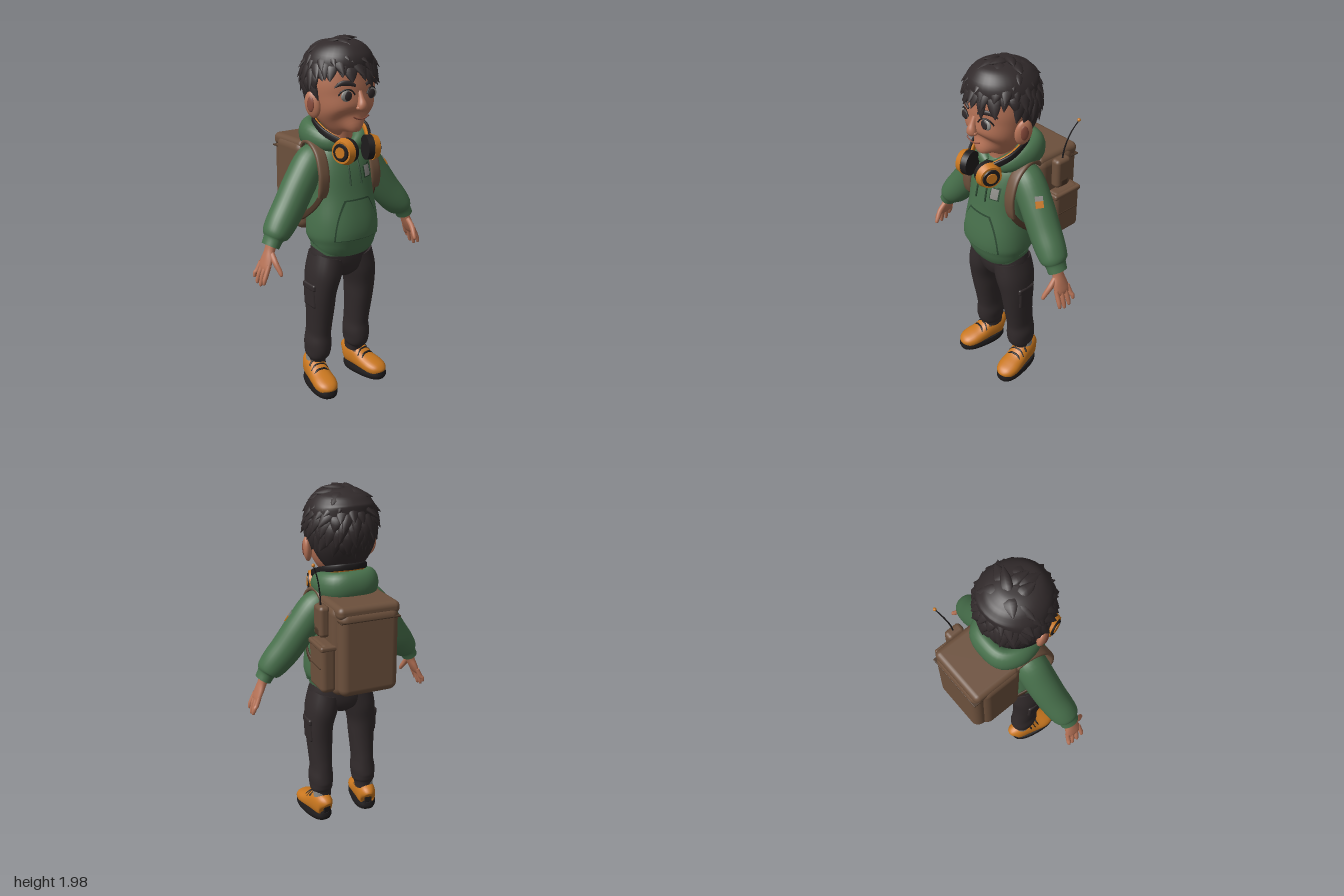
import * as THREE from 'three';
import { RoundedBoxGeometry } from 'three/addons/geometries/RoundedBoxGeometry.js';

const mat = (name, color) => Object.assign(new THREE.MeshStandardMaterial({ color }), { name });
const M = {
  skin: mat('skin', 0xb87458), lip: mat('lip', 0x8a4c3c), charcoal: mat('charcoal', 0x312a2b),
  green: mat('green', 0x476f4b), darkGreen: mat('dark green', 0x2c4932), brown: mat('brown', 0x6c503c),
  darkBrown: mat('dark brown', 0x4a3627), orange: mat('orange', 0xc9771f), black: mat('black', 0x1f1c1d),
  grey: mat('grey', 0x8b8a86),
};
const X = new THREE.Vector3(1, 0, 0), Y = new THREE.Vector3(0, 1, 0), Z = new THREE.Vector3(0, 0, 1);

// Catmull-Rom interpolation of rows of numbers
function smooth(rows, k) {
  const out = [];
  for (let i = 0; i < rows.length - 1; i++) {
    const [A, B, C, D] = [-1, 0, 1, 2].map(o => rows[THREE.MathUtils.clamp(i + o, 0, rows.length - 1)]);
    for (let s = 0; s < k; s++) {
      const t = s / k;
      out.push(B.map((b, c) => 0.5 * (2 * b + (C[c] - A[c]) * t + (2 * A[c] - 5 * b + 4 * C[c] - D[c]) * t * t
        + (3 * b - A[c] - 3 * C[c] + D[c]) * t * t * t)));
    }
  }
  out.push(rows[rows.length - 1]);
  return out;
}

// Skin through rows [x, y, z, radius along ref, other radius]
function limb(rows, ref, { n = 24, k = 5, p = 2 } = {}) {
  const R = smooth(rows, k), P = R.map(r => new THREE.Vector3(r[0], r[1], r[2])), pos = [], idx = [];
  const pw = v => Math.sign(v) * Math.abs(v) ** (2 / p);
  const ring = i => {
    const t = P[Math.min(i + 1, P.length - 1)].clone().sub(P[Math.max(i - 1, 0)]).normalize();
    const u = ref.clone().addScaledVector(t, -ref.dot(t)).normalize(), v = t.clone().cross(u);
    for (let j = 0; j < n; j++) {
      const a = j / n * Math.PI * 2;
      const q = P[i].clone().addScaledVector(u, Math.max(R[i][3], 0.0005) * pw(Math.cos(a)))
        .addScaledVector(v, Math.max(R[i][4], 0.0005) * pw(Math.sin(a)));
      pos.push(q.x, q.y, q.z);
    }
  };
  P.forEach((_, i) => ring(i));
  for (let i = 0; i < P.length - 1; i++) for (let j = 0; j < n; j++) {
    const a = i * n + j, b = i * n + (j + 1) % n;
    idx.push(a, b, a + n, b, b + n, a + n);
  }
  for (const i of [0, P.length - 1]) {            // flat end caps
    const s = pos.length / 3;
    ring(i);
    pos.push(P[i].x, P[i].y, P[i].z);
    for (let j = 0; j < n; j++) {
      const a = s + j, b = s + (j + 1) % n;
      i ? idx.push(s + n, a, b) : idx.push(s + n, b, a);
    }
  }
  const g = new THREE.BufferGeometry();
  g.setAttribute('position', new THREE.Float32BufferAttribute(pos, 3));
  g.setIndex(idx);
  g.computeVertexNormals();
  return g;
}

// Front z of an upright limb at (x, y)
function frontZ(rows, x, y, p) {
  const R = smooth(rows, 8);
  let i = R.findIndex(r => r[1] >= y);
  i = Math.max(i, 1);
  const f = (y - R[i - 1][1]) / (R[i][1] - R[i - 1][1]);
  const [, , z, rx, rz] = R[i].map((v, c) => THREE.MathUtils.lerp(R[i - 1][c], v, f));
  return z + rz * Math.max(0, 1 - Math.abs(x / rx) ** p) ** (1 / p);
}

const HEAD = [[0, 1.5, .195, .03, .035], [0, 1.515, .19, .065, .065], [0, 1.55, .155, .115, .11], [0, 1.6, .13, .15, .147],
  [0, 1.68, .105, .168, .162], [0, 1.76, .095, .175, .168], [0, 1.85, .09, .16, .163], [0, 1.92, .09, .1, .11], [0, 1.94, .09, .02, .02]];
const HAIR = [[0, 1.53, .02, .085, .04], [0, 1.6, .025, .142, .09], [0, 1.68, .035, .178, .135], [0, 1.78, .06, .187, .172],
  [0, 1.86, .08, .182, .187], [0, 1.92, .085, .145, .155], [0, 1.955, .085, .085, .095], [0, 1.965, .085, .02, .02]];
const TORSO = [[0, .835, .1, .172, .128], [0, .885, .105, .182, .138], [0, .9, .11, .192, .152], [0, .94, .11, .202, .166],
  [0, 1.02, .108, .198, .163], [0, 1.15, .095, .18, .15], [0, 1.28, .08, .178, .14], [0, 1.38, .06, .165, .12],
  [0, 1.44, .05, .105, .095], [0, 1.46, .05, .085, .085]];

export function createModel() {
  const root = new THREE.Group();
  const add = (name, geo, m, parent = root, pos = [0, 0, 0]) => {
    const mesh = new THREE.Mesh(geo, m);
    mesh.name = name;
    mesh.position.set(...pos);
    parent.add(mesh);
    return mesh;
  };
  const box = (name, w, h, d, r, m, pos) => add(name, new RoundedBoxGeometry(w, h, d, 4, r), m, root, pos);
  const ball = (name, rx, ry, rz, m, pos) => add(name, new THREE.SphereGeometry(1, 24, 16).scale(rx, ry, rz), m, root, pos);
  const group = name => { const g = new THREE.Group(); g.name = name; root.add(g); return g; };
  const mirrorRows = half => [...half, ...half.slice(0, -1).reverse().map(([x, ...r]) => [-x, ...r])];
  // thin sheet laid over the chest; half width runs from w0 (bottom) to w1 (top)
  const patch = (name, cx, y0, y1, w0, w1, off, m) => {
    const g = new THREE.PlaneGeometry(2, 1, 16, 10), a = g.attributes.position;
    for (let i = 0; i < a.count; i++) {
      const v = a.getY(i) + 0.5, x = cx + a.getX(i) * THREE.MathUtils.lerp(w0, w1, v * v), y = THREE.MathUtils.lerp(y0, y1, v);
      a.setXYZ(i, x, y, frontZ(TORSO, x, y, 2.3) + off);
    }
    g.computeVertexNormals();
    add(name, g, m);
  };

  // Head and face
  add('head', limb(HEAD, X, { n: 40, p: 2.2 }), M.skin);
  add('neck', limb([[0, 1.4, .07, .08, .08], [0, 1.48, .085, .07, .07], [0, 1.58, .1, .075, .075]], X), M.skin);
  const face = (x, y, o = 0) => [x, y, frontZ(HEAD, x, y, 2.2) + o];
  add('nose', limb([[0, 1.72, .255, .012, .012], [0, 1.68, .268, .017, .02], [0, 1.65, .278, .026, .026], [0, 1.632, .276, .026, .022],
    [0, 1.62, .27, .008, .008]], X), M.skin);
  add('mouth', limb([-.05, -.025, 0, .025, .05].map(x => [...face(x, 1.578 + x * x * 6), .004, .003]), Y, { n: 8 }), M.lip);
  for (const s of [-1, 1]) {
    ball('nostril', .012, .011, .014, M.skin, [s * .02, 1.636, .275]);
    ball('eye', .036, .029, .012, M.grey, face(s * .076, 1.7, -.002));
    ball('iris', .023, .025, .008, M.charcoal, face(s * .074, 1.7, .005));
    add('eyelid', limb([[.038, 1.705], [.056, 1.727], [.08, 1.733], [.104, 1.722], [.117, 1.703]]
      .map(([x, y]) => [...face(s * x, y, .005), .004, .005]), Y, { n: 8 }), M.black);
    add('eyebrow', limb([[.034, 1.75, .007], [.07, 1.764, .013], [.105, 1.762, .012], [.13, 1.742, .003]]
      .map(([x, y, r]) => [...face(s * x, y, .002), r, .008]), Y, { n: 10 }), M.charcoal);
    const ear = ball('ear', .024, .07, .046, M.skin, [s * .182, 1.645, .1]);
    ear.rotation.set(-.15, s * -.35, s * -.12);
    ball('earHollow', .008, .04, .022, M.lip, [s * .2, 1.65, .108]).rotation.y = s * -.35;
  }

  // Hair: a cap overlaid with pointed locks that run away from the crown
  const hair = group('hair');
  add('hairCap', limb(HAIR, X, { n: 36 }), M.charcoal, hair);
  let seed = 7;
  const rnd = () => (seed = (seed * 16807) % 2147483647) / 2147483647;
  const C = new THREE.Vector3(0, 1.77, .075), crown = new THREE.Vector3(-.02, 1.97, .02);
  for (let i = 0; i < 190; i++) {
    const cy = 1 - 1.85 * (i + .5) / 190, a = i * 2.39996, q = Math.sqrt(1 - cy * cy);
    const d = new THREE.Vector3(q * Math.cos(a), cy, q * Math.sin(a));
    const pt = d.clone().multiply(new THREE.Vector3(.18, .188, .182)).add(C);
    if ((pt.z > .13 && pt.y < 1.835) || (pt.y < 1.76 && pt.z > .06) || pt.y < 1.61) continue;
    const nrm = d.clone().divide(new THREE.Vector3(.18, .188, .182)).normalize();
    const dir = pt.clone().sub(crown).add(new THREE.Vector3((rnd() - .5) * .1, 0, (rnd() - .5) * .1));
    dir.addScaledVector(nrm, -dir.dot(nrm)).normalize();
    const len = .08 + rnd() * .045, w = .026 + rnd() * .012, lift = .008 + rnd() * .014;
    const at = (t, h, th, wd) => [...pt.clone().addScaledVector(dir, len * t).addScaledVector(nrm, h - t * t * len * .2).toArray(), th, wd];
    add('lock', limb([at(-.35, -.012, .006, w * .5), at(.1, .004, .013, w), at(.55, .012, .012, w * .8), at(1, lift + .01, .001, .001)],
      nrm, { n: 8, k: 3 }), M.charcoal, hair);
  }

  // Hoodie
  add('hoodieBody', limb(TORSO, X, { n: 40, p: 2.3 }), M.green);
  add('hood', limb(mirrorRows([[.025, 1.405, .165, .03, .025], [.1, 1.44, .13, .05, .045], [.132, 1.462, .02, .07, .05],
    [.09, 1.465, -.07, .08, .055], [0, 1.467, -.09, .082, .055]]), Y), M.green);
  add('hemSeam', limb([[0, .887, .105, .184, .141], [0, .893, .106, .191, .15]], X, { n: 40, p: 2.3 }), M.darkGreen);
  patch('pocketSeam', 0, .925, 1.145, .145, .079, .004, M.darkGreen);
  patch('frontPocket', 0, .93, 1.138, .14, .073, .008, M.green);
  patch('chestBadge', .087, 1.245, 1.32, .028, .028, .005, M.darkGreen);
  patch('chestBadgeCentre', .087, 1.252, 1.31, .021, .021, .008, M.grey);
  for (const s of [-1, 1]) {
    add('drawstring', limb([1.41, 1.36, 1.3, 1.22].map((y, i) => [s * (.03 + i * .002), y, Math.max(frontZ(TORSO, .03, y, 2.3) + .006, i ? 0 : .192),
      .005, .005]), X, { n: 8 }), M.darkGreen);
    add('sleeve', limb([[.1, 1.38, .045, .07, .06], [.16, 1.335, .05, .088, .088], [.24, 1.23, .06, .09, .09], [.32, 1.115, .075, .087, .088],
      [.385, 1.035, .09, .083, .082], [.425, .99, .1, .075, .068], [.437, .972, .102, .06, .05], [.458, .935, .104, .056, .045]]
      .map(([x, ...r]) => [s * x, ...r]), Z, { n: 28 }), M.green);

    // Hand
    const hand = group('hand');
    const part = (name, rows) => add(name, limb(rows.map(([x, ...r]) => [s * x, ...r]), Z, { n: 14 }), M.skin, hand);
    part('palm', [[.445, .96, .104, .036, .03], [.463, .915, .106, .034, .025], [.482, .87, .108, .046, .022],
      [.5, .83, .108, .05, .017], [.508, .812, .108, .042, .01]]);
    [[.066, .056, .765], [.094, .084, .74], [.122, .118, .735], [.149, .153, .752]].forEach(([z0, z1, y]) =>
      part('finger', [[.495, .845, z0, .012, .012], [.515, .8, (z0 + z1) / 2, .013, .013], [.527, y + .02, z1, .0115, .0115],
        [.531, y, z1, .008, .008], [.531, y - .005, z1, .001, .001]]));
    part('thumb', [[.465, .905, .125, .016, .014], [.468, .865, .165, .017, .015], [.46, .825, .195, .013, .013],
      [.457, .803, .208, .009, .009], [.456, .798, .21, .001, .001]]);

    // Trouser leg with cargo pocket
    add('trouserLeg', limb([[.09, .8, .097, .095, .113], [.118, .7, .097, .09, .117], [.134, .6, .095, .079, .103], [.135, .5, .09, .073, .092],
      [.135, .4, .08, .066, .085], [.135, .33, .072, .063, .084], [.137, .27, .07, .07, .088], [.138, .225, .067, .067, .088],
      [.138, .19, .06, .064, .077], [.137, .17, .056, .054, .062], [.136, .135, .052, .05, .054]]
      .map(([x, ...r]) => [s * x, ...r]), X, { p: 2.2 }), M.charcoal);
    box('cargoPocket', .034, .13, .105, .014, M.charcoal, [s * .196, .575, .09]).rotation.z = s * -.04;
    box('cargoFlap', .04, .04, .112, .012, M.charcoal, [s * .197, .635, .092]);

    // Shoe, turned slightly outward
    const shoe = group('shoe');
    shoe.position.set(s * .14, 0, 0);
    shoe.rotation.y = s * .17;
    add('sole', limb([[0, 0, .13, .066, .145], [0, .02, .13, .072, .152], [0, .045, .13, .068, .148]], X, { n: 36, p: 2.5 }), M.black, shoe);
    add('upper', limb([[0, .085, -.022, .025, .045], [0, .092, -.008, .048, .066], [0, .092, .03, .057, .076], [0, .085, .08, .06, .07],
      [0, .068, .14, .064, .052], [0, .057, .2, .067, .045], [0, .05, .245, .055, .036], [0, .045, .27, .03, .02],
      [0, .043, .276, .005, .005]], X, { n: 28, p: 2.3 }), M.orange, shoe);
    add('sock', new THREE.CylinderGeometry(.046, .046, .07, 24), M.grey, shoe, [0, .15, .045]);
    [[.085, .156], [.115, .138], [.145, .122]].forEach(([z, y]) =>
      add('lace', limb([[-.05, y - .03, z + .008, .006, .006], [-.025, y - .003, z, .006, .006], [0, y + .001, z, .006, .006],
        [.025, y - .003, z, .006, .006], [.05, y - .03, z + .008, .006, .006]], Z, { n: 8 }), M.black, shoe));
    add('heelTab', new RoundedBoxGeometry(.045, .07, .012, 3, .005), M.black, shoe, [0, .09, -.022]);

    // Backpack strap and webbing
    add('shoulderStrap', limb([[.135, 1.36, -.06, .032, .012], [.145, 1.425, -.01, .032, .013], [.153, 1.435, .06, .033, .013],
      [.16, 1.385, .135, .033, .013], [.167, 1.29, .178, .033, .013], [.172, 1.21, .182, .032, .013], [.175, 1.165, .172, .026, .012]]
      .map(([x, ...r]) => [s * x, ...r]), X, { p: 3 }), M.brown);
    add('strapWebbing', limb([[.175, 1.18, .174, .016, .006], [.19, 1.11, .13, .016, .006], [.2, 1.04, .05, .016, .006], [.17, .99, -.05, .016, .006]]
      .map(([x, ...r]) => [s * x, ...r]), Y, { n: 12, p: 3 }), M.darkBrown);

    // Headphone cup
    const cup = group('headphoneCup');
    cup.position.set(s * .092, 1.415, .25);
    cup.rotation.y = s * -.3;
    [['cushion', .066, .066, .034, -.024, M.black], ['shell', .058, .071, .034, .01, M.orange], ['ring', .044, .048, .008, .03, M.black],
      ['cap', .028, .03, .008, .034, M.orange]].forEach(([name, r1, r0, h, x, m]) =>
      add(name, new THREE.CylinderGeometry(r1, r0, h, 32).rotateZ(-s * Math.PI / 2), m, cup, [s * x, 0, 0]));
  }
  add('hips', limb([[0, .68, .1, .05, .07], [0, .715, .1, .12, .1], [0, .78, .097, .185, .116], [0, .9, .1, .165, .115]], X, { n: 32, p: 2.3 }), M.charcoal);

  // Headphone band behind the neck, lined in orange
  const band = [[.095, 1.46, .225], [.138, 1.5, .14], [.128, 1.54, .03], [.07, 1.562, -.045], [0, 1.565, -.062]];
  add('headband', limb(mirrorRows(band.map(b => [...b, .018, .008])), Y, { n: 12, p: 3 }), M.black);
  add('bandLining', limb(mirrorRows(band.map(([x, y, z]) => [x * .9, y - .004, z * .96, .02, .008])), Y, { n: 12, p: 3 }), M.orange);

  // Sleeve badge
  const badge = group('sleeveBadge'), out = new THREE.Vector3(.72, .56, .42).normalize();
  badge.position.set(.238, 1.235, .06).addScaledVector(out, .088);
  badge.lookAt(badge.position.clone().add(out));
  add('badgeTop', new THREE.BoxGeometry(.042, .026, .009), M.grey, badge, [0, .02, 0]);
  add('badgeBottom', new THREE.BoxGeometry(.042, .036, .009), M.orange, badge, [0, -.011, 0]);

  // Backpack
  box('backpackBody', .374, .5, .26, .05, M.brown, [0, 1.17, -.145]);
  box('backpackRear', .335, .47, .12, .045, M.brown, [0, 1.165, -.26]);
  box('backpackLid', .35, .07, .285, .03, M.brown, [0, 1.392, -.168]);
  box('lidSeam', .338, .008, .1, .003, M.darkBrown, [0, 1.35, -.272]);
  box('sidePocket', .09, .27, .185, .03, M.brown, [.208, 1.085, -.167]);
  box('sidePocketFlap', .096, .03, .19, .012, M.brown, [.208, 1.2, -.167]);
  box('sidePocketSeam', .006, .006, .15, .002, M.darkBrown, [.253, 1.09, -.167]);
  box('radioPouch', .06, .17, .1, .022, M.brown, [.205, 1.325, -.15]);
  box('radioFlap', .064, .05, .06, .014, M.darkBrown, [.206, 1.27, -.15]);
  add('antenna', limb([[.21, 1.38, -.15, .005, .005], [.218, 1.47, -.16, .004, .004], [.238, 1.56, -.18, .0035, .0035],
    [.268, 1.635, -.203, .003, .003]], Z, { n: 8 }), M.black);
  ball('antennaTip', .009, .009, .009, M.orange, [.268, 1.637, -.203]);

  return root;
}
